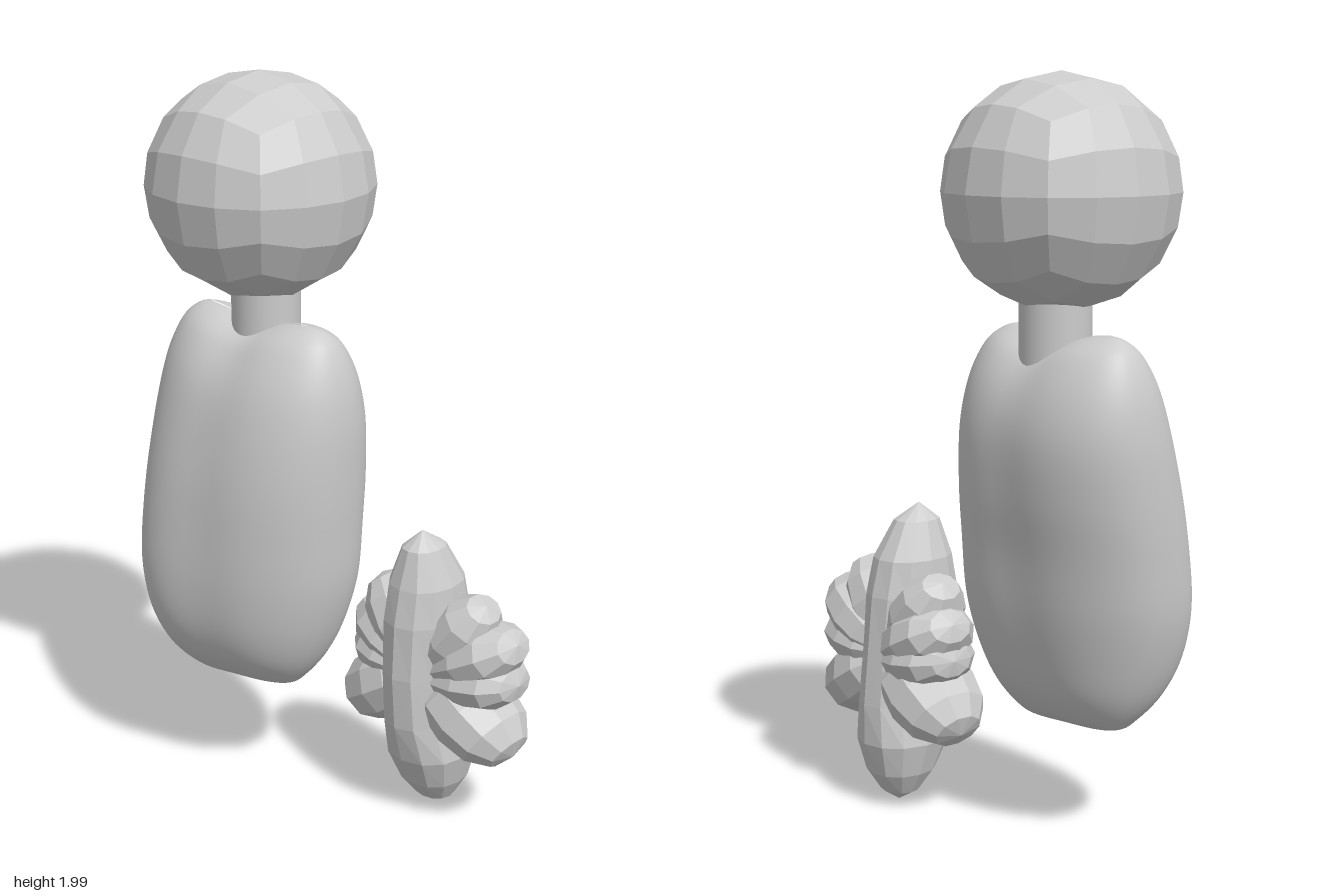
import * as THREE from 'three';

const grey = new THREE.MeshStandardMaterial({ color: 0xcccccc });
grey.name = 'plain grey';
const faceted = new THREE.MeshStandardMaterial({ color: 0xcccccc, flatShading: true });
faceted.name = 'faceted grey';

const add = (parent, name, geometry, material, x = 0, y = 0, z = 0) => {
  const mesh = new THREE.Mesh(geometry, material);
  mesh.name = name;
  mesh.position.set(x, y, z);
  parent.add(mesh);
  return mesh;
};

// Closed skin over sections [y, half width, front z, back z], listed top to bottom
function loft(sections, rows, cols, power, shape = () => {}) {
  const sizes = new THREE.SplineCurve(sections.map(s => new THREE.Vector2(s[0], s[1])));
  const depths = new THREE.SplineCurve(sections.map(s => new THREE.Vector2(s[2], s[3])));
  const pos = [], index = [], p = new THREE.Vector3();
  const round = v => Math.sign(v) * Math.pow(Math.abs(v), 2 / power);
  for (let i = 0; i <= rows; i++) {
    const a = sizes.getPoint(i / rows), b = depths.getPoint(i / rows);
    for (let j = 0; j < cols; j++) {
      const t = j / cols * Math.PI * 2, side = round(Math.cos(t));
      p.set(a.y * round(Math.sin(t)), a.x, (b.x + b.y) / 2 + (b.x - b.y) / 2 * side);
      shape(p, side);
      pos.push(p.x, p.y, p.z);
      if (i < rows) {
        const k = (j + 1) % cols, r = i * cols, s = r + cols;
        index.push(r + j, s + j, s + k, r + j, s + k, r + k);
      }
    }
  }
  const g = new THREE.BufferGeometry();
  g.setAttribute('position', new THREE.Float32BufferAttribute(pos, 3));
  g.setIndex(index);
  g.computeVertexNormals();
  return g;
}

// Cube pushed out to a ball, four facets across each side, slightly full at the cube's edges
function cubeBall(radius) {
  const g = new THREE.BoxGeometry(2, 2, 2, 4, 4, 4).toNonIndexed();
  const p = g.attributes.position, n = g.attributes.normal;
  const v = new THREE.Vector3(), bend = c => Math.tan(c * Math.PI / 4);
  for (let i = 0; i < p.count; i++) {
    v.fromBufferAttribute(p, i);
    v.set(bend(v.x), bend(v.y), bend(v.z)).normalize();
    const most = Math.max(Math.abs(v.x), Math.abs(v.y), Math.abs(v.z));
    v.multiplyScalar(radius * (1 + 0.026 * Math.min(1, (1 - most) / 0.29)));
    p.setXYZ(i, v.x, v.y, v.z);
  }
  g.computeVertexNormals();
  // One shared normal for both triangles of each four-sided facet
  for (let i = 0; i < p.count; i += 6) {
    v.set(n.getX(i) + n.getX(i + 3), n.getY(i) + n.getY(i + 3), n.getZ(i) + n.getZ(i + 3)).normalize();
    for (let k = i; k < i + 6; k++) n.setXYZ(k, v.x, v.y, v.z);
  }
  return g;
}

// Pod growing along +y from its root, widest halfway
function pod(length, width, depth) {
  const profile = [[0, 0], [0.6, 0.1], [0.92, 0.28], [1, 0.52], [0.87, 0.78], [0.52, 0.95], [0, 1]];
  const g = new THREE.LatheGeometry(profile.map(([r, y]) => new THREE.Vector2(r, y)), 10);
  return g.scale(width, length, depth);
}

export function createModel() {
  const model = new THREE.Group();
  model.name = 'figureWithPods';

  // Figure: head, neck and torso
  const figure = new THREE.Group();
  figure.name = 'figure';
  figure.position.x = -0.237;
  model.add(figure);
  add(figure, 'head', cubeBall(0.296), grey, 0, 1.704, 0);
  add(figure, 'neck', new THREE.CylinderGeometry(0.093, 0.093, 0.24, 32), grey, 0, 1.37, -0.015);
  const torso = [
    [1.362, 0.18, 0.02, 0.01], [1.35, 0.225, 0.07, -0.05], [1.31, 0.268, 0.125, -0.112],
    [1.22, 0.302, 0.18, -0.165], [1.1, 0.317, 0.22, -0.193], [0.95, 0.315, 0.252, -0.19],
    [0.8, 0.306, 0.267, -0.168], [0.65, 0.292, 0.27, -0.145], [0.52, 0.26, 0.254, -0.112],
    [0.42, 0.218, 0.215, -0.075], [0.35, 0.168, 0.155, -0.025], [0.32, 0.125, 0.105, 0.02],
    [0.312, 0, 0.065, 0.065],
  ];
  add(figure, 'torso', loft(torso, 60, 64, 2.3, (p, side) => {
    const seam = Math.exp(-((p.x / 0.1) ** 2));
    // Hips turn towards the right, below level shoulders
    p.z -= 0.24 * p.x * (1 - THREE.MathUtils.smoothstep(p.y, 0.45, 1.2));
    // Dip between the shoulders and a shallow groove down front and back
    p.y -= 0.03 * seam * THREE.MathUtils.smoothstep(p.y, 1.1, 1.36);
    p.z -= 0.01 * seam * side;
  }), grey);

  // Pod cluster: tall core with pods down both sides
  const cluster = new THREE.Group();
  cluster.name = 'podCluster';
  cluster.position.x = 0.257;
  model.add(cluster);
  const core = [
    [0.845, 0, -0.092, -0.092], [0.8, 0.052, -0.035, -0.165], [0.7, 0.09, -0.003, -0.225],
    [0.6, 0.097, 0.016, -0.25], [0.45, 0.092, 0.022, -0.265], [0.3, 0.097, 0.01, -0.28],
    [0.19, 0.115, -0.02, -0.28], [0.1, 0.09, -0.065, -0.255], [0.04, 0.055, -0.115, -0.215],
    [0.008, 0, -0.168, -0.168],
  ];
  add(cluster, 'podCore', loft(core, 9, 12, 2.2), faceted);

  // [name, angle from upright, left length, right length, half width, half depth, z]
  const pods = [
    ['upperPod', 0.66, 0.3, 0.29, 0.09, 0.11, -0.14],
    ['middlePod', 1.08, 0.315, 0.275, 0.09, 0.125, -0.155],
    ['sidePod', 1.45, 0.29, 0.25, 0.085, 0.125, -0.155],
    ['lowerPod', 2.13, 0.33, 0.32, 0.108, 0.135, -0.15],
  ];
  for (const [name, angle, left, right, width, depth, z] of pods) {
    for (const [side, length] of [[1, left], [-1, right]]) {
      const mesh = add(cluster, name, pod(length, width, depth), faceted, 0, 0.43, z);
      mesh.rotation.z = -side * angle;
    }
  }
  return model;
}
